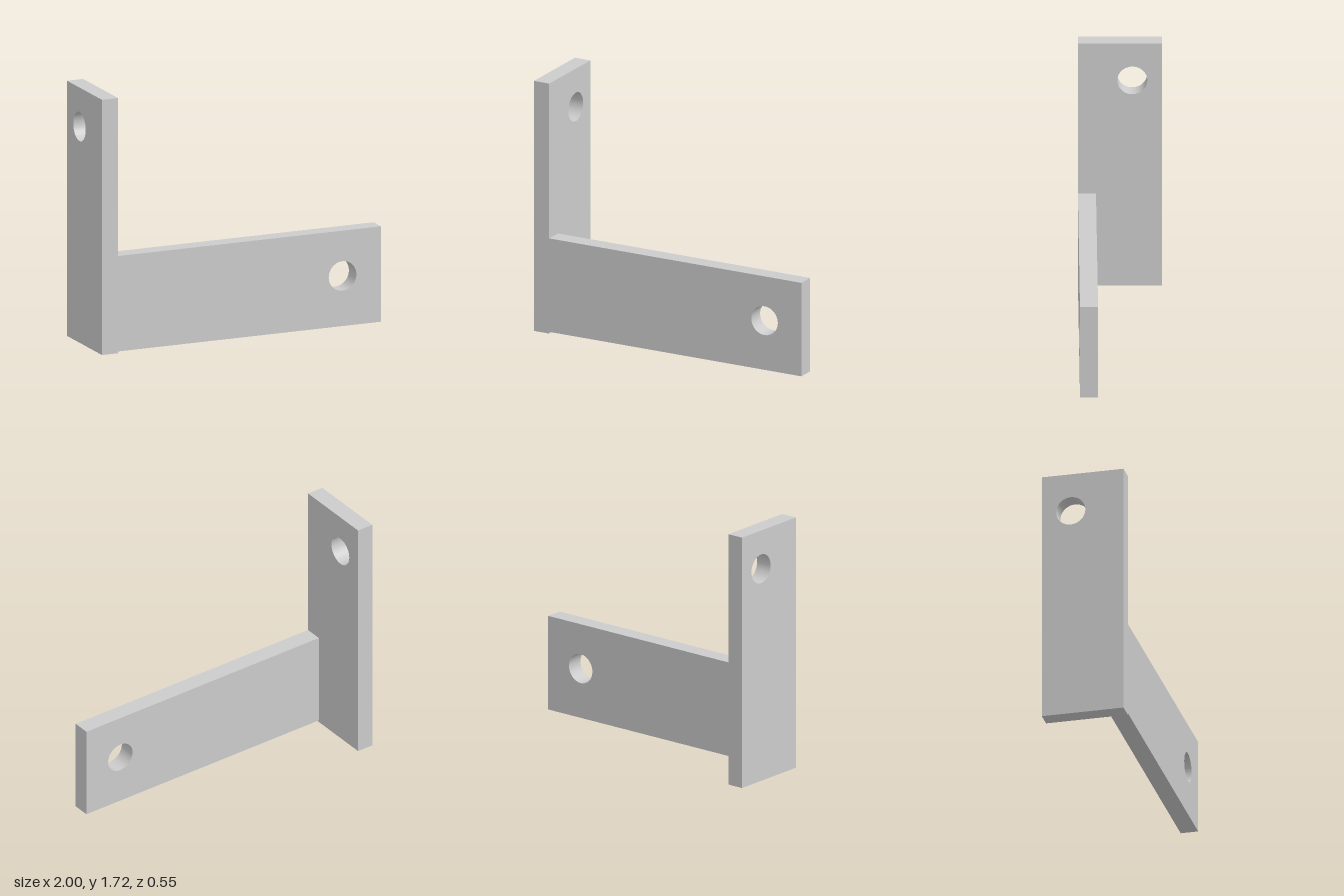
import * as THREE from 'three';
import { toCreasedNormals } from 'three/addons/utils/BufferGeometryUtils.js';

// Flat rectangular plate with one round through-hole, extruded along +z
function plate(name, x0, x1, y0, y1, depth, hole, material) {
  const shape = new THREE.Shape([
    new THREE.Vector2(x0, y0),
    new THREE.Vector2(x1, y0),
    new THREE.Vector2(x1, y1),
    new THREE.Vector2(x0, y1),
  ]);
  shape.holes.push(new THREE.Path().absarc(hole.x, hole.y, hole.r, 0, Math.PI * 2, true));
  const geometry = new THREE.ExtrudeGeometry(shape, { depth, bevelEnabled: false, curveSegments: 48 });
  const mesh = new THREE.Mesh(toCreasedNormals(geometry, Math.PI / 6), material);
  mesh.name = name;
  return mesh;
}

export function createModel() {
  const group = new THREE.Group();
  group.name = 'angleBracket';
  const material = new THREE.MeshStandardMaterial({ color: 0xcccccc });

  // Upright plate, turned so its thickness runs along x
  const upright = plate('uprightPlate', -0.275, 0.275, 0, 1.72, 0.115,
    { x: 0.08, y: 1.457, r: 0.098 }, material);
  upright.rotation.y = Math.PI / 2;
  upright.position.x = -1;

  // Horizontal arm, flush with the front edge of the upright
  const arm = plate('horizontalArm', -0.885, 1, 0.012, 0.655, 0.118,
    { x: 0.725, y: 0.35, r: 0.099 }, material);
  arm.position.z = 0.157;

  group.add(upright, arm);
  return group;
}
